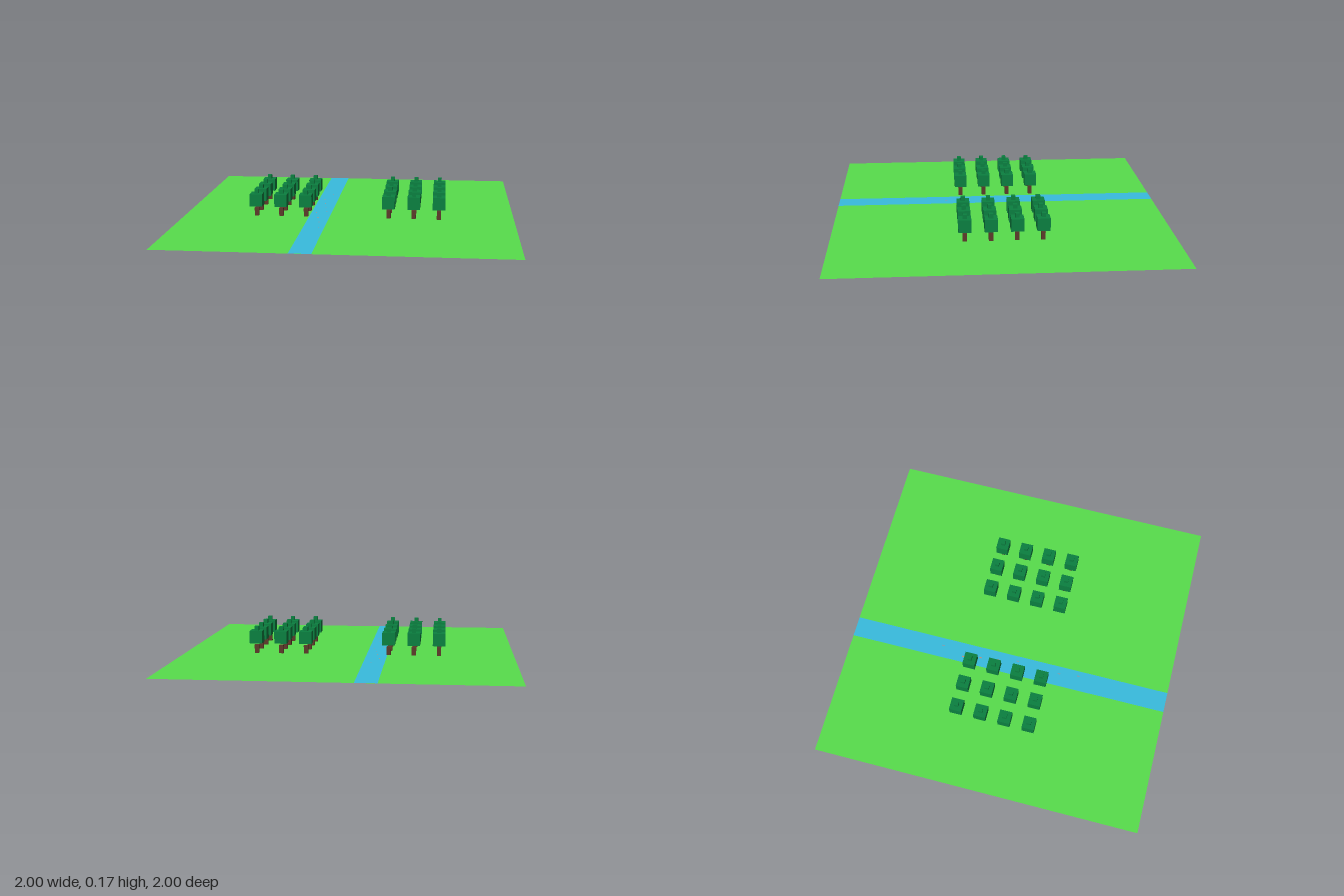
import * as THREE from 'three';

const paint = (color, side = THREE.FrontSide) =>
  new THREE.MeshStandardMaterial({ color, side });

const groundMat = paint(0x58de4c, THREE.DoubleSide);
const waterMat = paint(0x38bcdf);
const leafMat = paint(0x0b8040);
const trunkMat = paint(0x5c3a2a);
const fishMats = [paint(0x8a9ca8), paint(0xd08a70)];

const trunkGeo = new THREE.BoxGeometry(0.025, 0.05, 0.025);
const crownGeo = new THREE.BoxGeometry(0.075, 0.075, 0.075);
const tipGeo = new THREE.BoxGeometry(0.025, 0.025, 0.025);
const fishGeo = new THREE.PlaneGeometry(0.006, 0.016).rotateX(-Math.PI / 2);

function addPart(parent, name, geometry, material, x, y, z) {
  const mesh = new THREE.Mesh(geometry, material);
  mesh.name = name;
  mesh.position.set(x, y, z);
  parent.add(mesh);
}

function createTree(x, z) {
  const tree = new THREE.Group();
  tree.name = 'tree';
  addPart(tree, 'trunk', trunkGeo, trunkMat, 0, 0.0375, 0);
  addPart(tree, 'crown', crownGeo, leafMat, 0, 0.1125, 0);
  addPart(tree, 'crownTip', tipGeo, leafMat, 0, 0.1625, 0);
  tree.position.set(x, 0, z);
  return tree;
}

export function createModel() {
  const model = new THREE.Group();
  model.name = 'riverLandscape';

  // Flat meadow with a straight river
  const flat = (w, d) => new THREE.PlaneGeometry(w, d).rotateX(-Math.PI / 2);
  addPart(model, 'ground', flat(2, 2), groundMat, 0, 0, 0);
  addPart(model, 'river', flat(0.125, 2), waterMat, -0.175, 0.001, 0);

  // Two groves of three by four trees
  for (const side of [-1, 1]) {
    const grove = new THREE.Group();
    grove.name = side < 0 ? 'rightGrove' : 'leftGrove';
    for (let i = 0; i < 3; i++) {
      for (let j = 0; j < 4; j++) {
        grove.add(createTree(side * (0.25 + i * 0.15), -0.225 + j * 0.15));
      }
    }
    model.add(grove);
  }

  // Tiny fish at the water surface
  const fish = [
    [-0.16, -0.43, 0], [-0.2, -0.29, 1], [-0.18, -0.18, 1],
    [-0.165, -0.07, 0], [-0.145, 0.05, 0], [-0.205, 0.09, 1],
    [-0.18, 0.21, 1], [-0.16, 0.32, 0], [-0.145, 0.44, 0],
  ];
  for (const [x, z, tint] of fish) {
    addPart(model, 'fish', fishGeo, fishMats[tint], x, 0.002, z);
  }
  return model;
}
